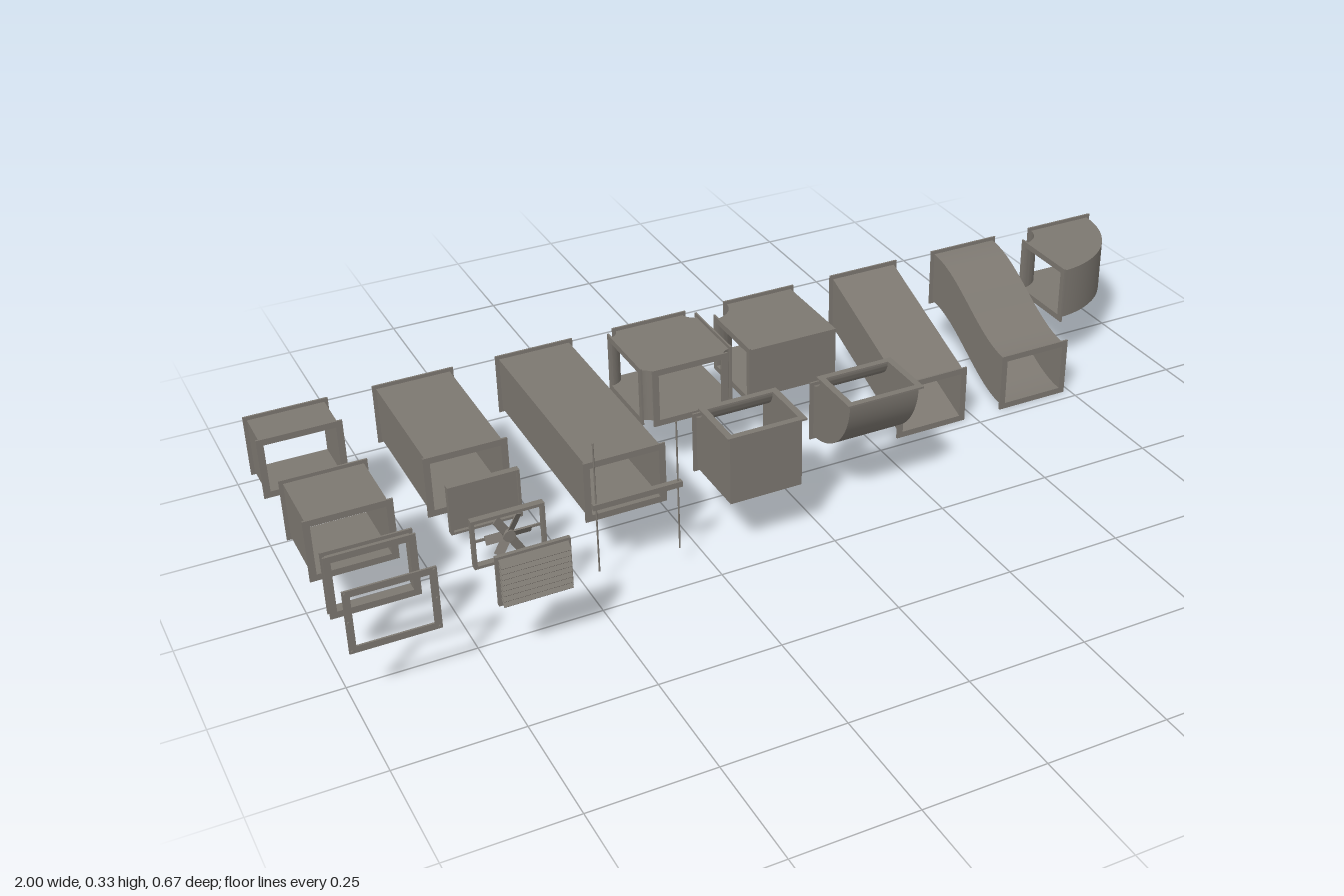
import * as THREE from 'three';
import { toCreasedNormals } from 'three/addons/utils/BufferGeometryUtils.js';

const W = 0.155, H = 0.117, T = 0.006;      // duct width, height, wall thickness
const RIM = 0.0075, FL = 0.004;             // flange overhang and thickness
const Y = 0.186, BACK = -0.3355;            // duct axis height, rear plane
const COL = i => -0.915 + 0.261 * i;        // column positions

const metal = new THREE.MeshStandardMaterial({ color: 0x7d7871 });
metal.name = 'galvanised metal';

function add(parent, name, geo, x = 0, y = 0, z = 0, rx = 0, ry = 0, rz = 0) {
  const m = new THREE.Mesh(geo, metal);
  m.name = name;
  m.position.set(x, y, z);
  m.rotation.set(rx, ry, rz);
  parent.add(m);
  return m;
}

function group(parent, name) {
  const g = new THREE.Group();
  g.name = name;
  parent.add(g);
  return g;
}

// Rectangular ring, centred on its own depth
function frameGeo(w, h, border, depth) {
  const rect = (P, a, b) => {
    const p = new P();
    p.moveTo(-a, -b); p.lineTo(a, -b); p.lineTo(a, b); p.lineTo(-a, b); p.closePath();
    return p;
  };
  const s = rect(THREE.Shape, w / 2, h / 2);
  s.holes.push(rect(THREE.Path, w / 2 - border, h / 2 - border));
  return new THREE.ExtrudeGeometry(s, { depth, bevelEnabled: false }).translate(0, 0, -depth / 2);
}
const flangeGeo = frameGeo(W + 2 * RIM, H + 2 * RIM, RIM + T, FL);
const flange = (g, x, y, z, rx = 0, ry = 0) => add(g, 'flange', flangeGeo, x, y, z, rx, ry);

// Hollow duct between a left rail A and a right rail B, with depth across them
function ductGeo(A, B, half, map) {
  const pos = [];
  const skin = (inset, inside) => {
    const rings = A.map((a, i) => {
      const b = B[i], step = b.clone().sub(a).setLength(inset);
      const p = a.clone().add(step), q = b.clone().sub(step), d = half - inset;
      return [[p, -d], [q, -d], [q, d], [p, d]].map(([v, e]) => map(v.x, v.y, e));
    });
    for (let i = 0; i + 1 < rings.length; i++) {
      for (let k = 0; k < 4; k++) {
        const n = (k + 1) % 4;
        const [a, b, c, d] = [rings[i][k], rings[i + 1][k], rings[i + 1][n], rings[i][n]];
        for (const v of inside ? [a, c, b, a, d, c] : [a, b, c, a, c, d]) pos.push(...v);
      }
    }
  };
  skin(0, false);
  skin(T, true);
  const geo = new THREE.BufferGeometry();
  geo.setAttribute('position', new THREE.Float32BufferAttribute(pos, 3));
  return toCreasedNormals(geo, 0.6);
}
const sideMap = x => (p, q, d) => [x - d, q, p];   // rails drawn in z, y
const planMap = (p, q, d) => [p, Y - d, q];        // rails drawn in x, z

// Duct running forward; drop(t) lowers it along its length
function runDuct(root, name, x, z0, z1, steps = 1, drop = () => 0) {
  const g = group(root, name), A = [], B = [];
  for (let i = 0; i <= steps; i++) {
    const t = i / steps, z = z0 + (z1 - z0) * t, y = Y - drop(t);
    A.push(new THREE.Vector2(z, y + H / 2));
    B.push(new THREE.Vector2(z, y - H / 2));
  }
  add(g, 'ductBody', ductGeo(A, B, W / 2, sideMap(x)));
  flange(g, x, Y, z0 + FL / 2);
  flange(g, x, Y - drop(1), z1 - FL / 2);
}

// Points of a quarter turn; square pushes them out to a sharp corner
function quarter(cx, cy, r, from, to, square) {
  return Array.from({ length: 17 }, (_, i) => {
    const a = from + (to - from) * i / 16, c = Math.cos(a), s = Math.sin(a);
    const k = square ? r / Math.max(Math.abs(c), Math.abs(s)) : r;
    return new THREE.Vector2(cx + c * k, cy + s * k);
  });
}

function flatElbow(root, name, x, square) {
  const g = group(root, name), r = 0.053, cx = x - W / 2 - r;
  add(g, 'elbowBody', ductGeo(
    quarter(cx, BACK, r + W, Math.PI / 2, 0, square),
    quarter(cx, BACK, r, Math.PI / 2, 0, false), H / 2, planMap));
  flange(g, x, Y, BACK + FL / 2);
  flange(g, cx + FL / 2, Y, BACK + r + W / 2, 0, Math.PI / 2);
}

function upElbow(root, name, x, square) {
  const g = group(root, name), r = 0.036, cz = 0.057, cy = Y + H / 2 + r;
  add(g, 'elbowBody', ductGeo(
    quarter(cz, cy, r, -Math.PI / 2, 0, false),
    quarter(cz, cy, r + H, -Math.PI / 2, 0, square), W / 2, sideMap(x)));
  flange(g, x, Y, cz + FL / 2);
  flange(g, x, cy - FL / 2, cz + r + H / 2, Math.PI / 2);
}

// Four-way junction with rounded inner corners
function crossDuct(root, x) {
  const g = group(root, 'crossJunction'), r = 0.026, L = W / 2 + r, z = BACK + L;
  const plan = new THREE.Shape();
  for (let i = 0; i < 4; i++) {
    const a = Math.PI / 4 + i * Math.PI / 2;
    const cx = L * Math.SQRT2 * Math.cos(a), cy = L * Math.SQRT2 * Math.sin(a);
    const start = a + Math.PI * 1.25, end = a + Math.PI * 0.75;
    const px = cx + r * Math.cos(start), py = cy + r * Math.sin(start);
    if (i) plan.lineTo(px, py); else plan.moveTo(px, py);
    plan.absarc(cx, cy, r, start, end, true);

    const wall = new THREE.Shape();
    wall.absarc(cx, cy, r, start, end, true);
    wall.absarc(cx, cy, r + T, end, start, false);
    wall.closePath();
    const geo = new THREE.ExtrudeGeometry(wall, { depth: H, bevelEnabled: false, curveSegments: 10 });
    add(g, 'cornerWall', geo, x, Y - H / 2, z, -Math.PI / 2);
  }
  plan.closePath();
  const plate = new THREE.ExtrudeGeometry(plan, { depth: T, bevelEnabled: false, curveSegments: 10 });
  for (const y of [Y - H / 2, Y + H / 2 - T]) add(g, 'plate', plate, x, y, z, -Math.PI / 2);
  for (const s of [-1, 1]) {
    flange(g, x, Y, z + s * (L - FL / 2));
    flange(g, x + s * (L - FL / 2), Y, z, 0, Math.PI / 2);
  }
}

export function createModel() {
  const root = new THREE.Group();
  root.name = 'ductKit';

  // Straight runs
  runDuct(root, 'shortDuct', COL(0), BACK, -0.235);
  runDuct(root, 'mediumDuct', COL(0), -0.08, 0.076);
  runDuct(root, 'longDuct', COL(1), BACK, -0.0255);
  runDuct(root, 'extraLongDuct', COL(2), BACK, 0.13);

  // Offsets: straight slope and smooth S
  const DROP = Y - H / 2 - RIM;
  runDuct(root, 'slopedOffset', COL(5), BACK, -0.0255, 1, t => DROP * t);
  runDuct(root, 'curvedOffset', COL(6), BACK, -0.0255, 20, t => DROP * (1 - Math.cos(Math.PI * t)) / 2);

  // Junction and elbows
  crossDuct(root, COL(3));
  flatElbow(root, 'squareElbow', COL(4), true);
  flatElbow(root, 'roundElbow', COL(7), false);
  upElbow(root, 'squareUpElbow', COL(3), true);
  upElbow(root, 'roundUpElbow', COL(4), false);

  // Coupling collar and bolted gasket frame
  runDuct(root, 'collar', COL(0), 0.181, 0.203);
  const gasket = group(root, 'gasket');
  flange(gasket, COL(0), Y, 0.314);
  const bolt = new THREE.CylinderGeometry(0.003, 0.003, 0.009, 8).rotateX(Math.PI / 2);
  for (const sx of [-1, 1]) for (const sy of [-1, 0, 1]) {
    add(gasket, 'bolt', bolt, COL(0) + sx * 0.08, Y + sy * 0.061, 0.314);
  }

  // Inserts that fit inside a duct
  const iw = W - 2 * T, ih = H - 2 * T, ix = COL(1);
  const cap = group(root, 'endCap');
  add(cap, 'capPlate', new THREE.BoxGeometry(iw, ih, 0.004), ix, Y, 0.062);
  add(cap, 'capRim', frameGeo(iw, ih, 0.005, 0.014), ix, Y, 0.064);

  const fan = group(root, 'fanInsert');
  add(fan, 'fanFrame', frameGeo(iw, ih, 0.006, 0.014), ix, Y, 0.19);
  add(fan, 'hub', new THREE.CylinderGeometry(0.012, 0.012, 0.014, 16), ix, Y, 0.19, Math.PI / 2);
  add(fan, 'support', new THREE.BoxGeometry(iw - 0.01, 0.005, 0.003), ix, Y, 0.184);
  const blade = new THREE.BoxGeometry(0.036, 0.018, 0.002).rotateX(0.5).translate(0.027, 0, 0);
  for (let i = 0; i < 6; i++) add(fan, 'blade', blade, ix, Y, 0.19, 0, 0, i * Math.PI / 3);

  // Louvre with slats sloping down towards the front
  const louvre = group(root, 'louvre');
  add(louvre, 'louvreFrame', frameGeo(iw, ih, 0.006, 0.008), ix, Y, 0.318);
  const slat = new THREE.BoxGeometry(iw - 0.01, 0.002, 0.022);
  for (let i = 0; i < 8; i++) {
    add(louvre, 'slat', slat, ix, Y - 0.041 + i * 0.0118, 0.327, 0.7);
  }

  // Trapeze hanger
  const hanger = group(root, 'hanger'), hx = COL(2);
  add(hanger, 'hangerBar', new THREE.BoxGeometry(0.184, 0.012, 0.012), hx, 0.191, 0.185);
  for (const s of [-1, 1]) {
    add(hanger, 'hangerRod', new THREE.CylinderGeometry(0.0018, 0.0018, 0.287, 8), hx + s * 0.0845, Y, 0.185);
  }
  return root;
}
